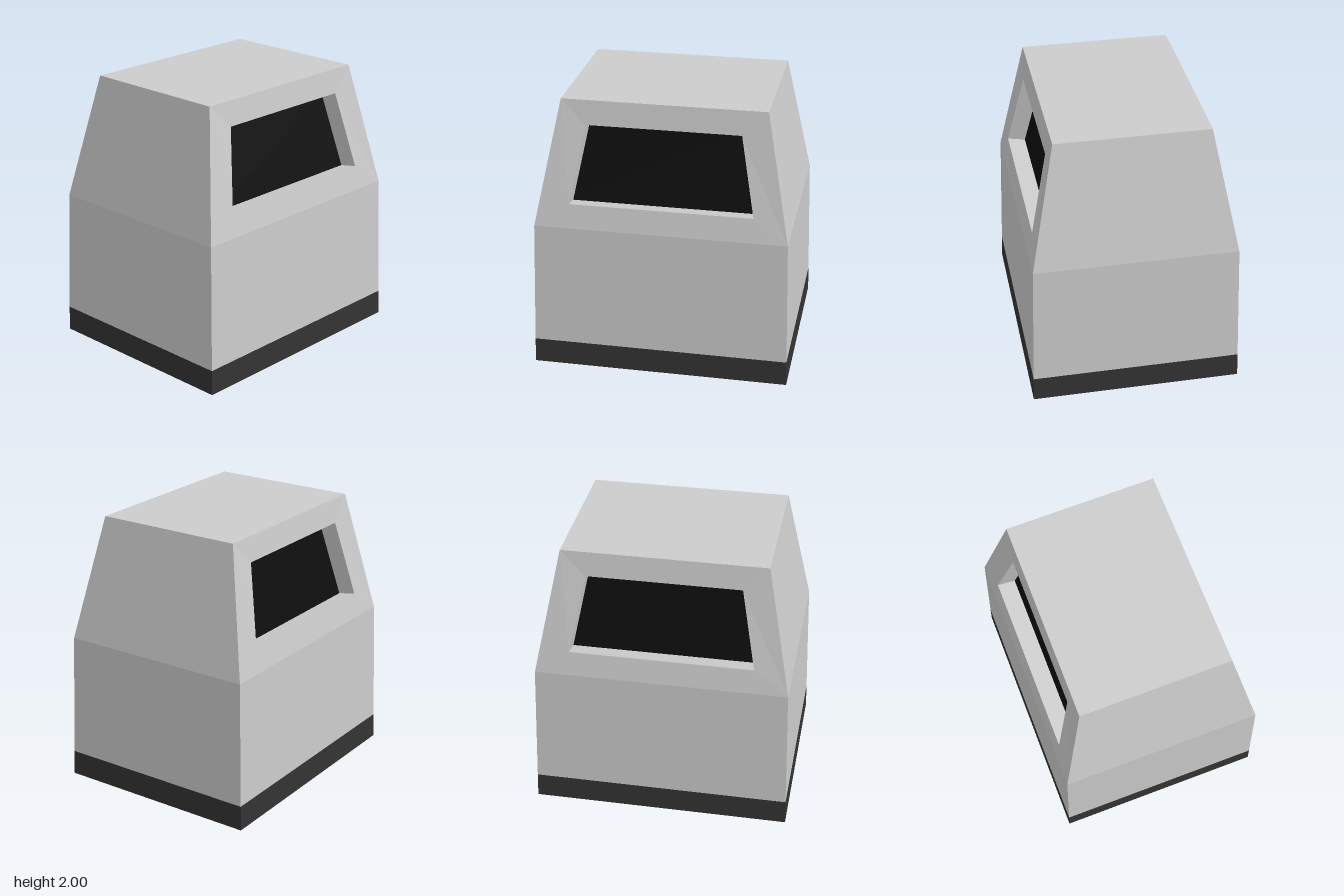
import * as THREE from 'three';

// Flat-faced geometry from quads, corners counter-clockwise seen from outside
function quadGeometry(quads) {
  const points = quads.flatMap(([a, b, c, d]) => [a, b, c, a, c, d]);
  const geometry = new THREE.BufferGeometry();
  geometry.setAttribute('position', new THREE.Float32BufferAttribute(points.flat(), 3));
  geometry.computeVertexNormals();
  return geometry;
}

// Rectangular ring of four corners: front-left, front-right, back-right, back-left on screen
const ring = (x, y, z) => [[-x, y, z], [x, y, z], [x, y, -z], [-x, y, -z]];

// Quads joining loop a to loop b, corner by corner
const band = (a, b, skip = () => false) => a.flatMap((p, i) => {
  const j = (i + 1) % a.length;
  return skip(i) ? [] : [[p, a[j], b[j], b[i]]];
});

export function createModel() {
  const group = new THREE.Group();
  const bodyMat = new THREE.MeshStandardMaterial({ color: 0xcccccc, flatShading: true });
  const baseMat = new THREE.MeshStandardMaterial({ color: 0x333333, flatShading: true });
  const darkMat = new THREE.MeshStandardMaterial({ color: 0x0d0d0d, flatShading: true });

  const add = (name, quads, material, parent = group) => {
    const mesh = new THREE.Mesh(quadGeometry(quads), material);
    mesh.name = name;
    parent.add(mesh);
  };

  const foot = ring(0.931, 0, 0.76);
  const baseTop = ring(0.927, 0.183, 0.755);
  const waist = ring(0.905, 1.092, 0.73);
  const roof = ring(0.727, 2, 0.547);

  // Dark plinth with its underside
  add('base', [...band(foot, baseTop), [...foot].reverse()], baseMat);

  // Lower walls, sloping upper side walls and the flat top
  add('lowerBody', band(baseTop, waist), bodyMat);
  add('upperSides', band(waist, roof, (i) => i % 2 === 0), bodyMat);
  add('top', [roof], bodyMat);

  // Sloping front and back, each with a recessed trapezoid opening
  const outer = [waist[0], waist[1], roof[1], roof[0]];
  const opening = [[-0.657, 1.266, 0.695], [0.657, 1.266, 0.695], [0.55, 1.825, 0.573], [-0.55, 1.825, 0.573]];
  const inner = opening.map(([x, y, z]) => [x, y - 0.024, z - 0.13]);
  ['front', 'back'].forEach((side, i) => {
    const face = new THREE.Group();
    face.name = side + 'Opening';
    face.rotation.y = i * Math.PI;
    add(side + 'Frame', band(outer, opening), bodyMat, face);
    add(side + 'Reveal', band(opening, inner), bodyMat, face);
    add(side + 'DarkPanel', [inner], darkMat, face);
    group.add(face);
  });

  return group;
}
